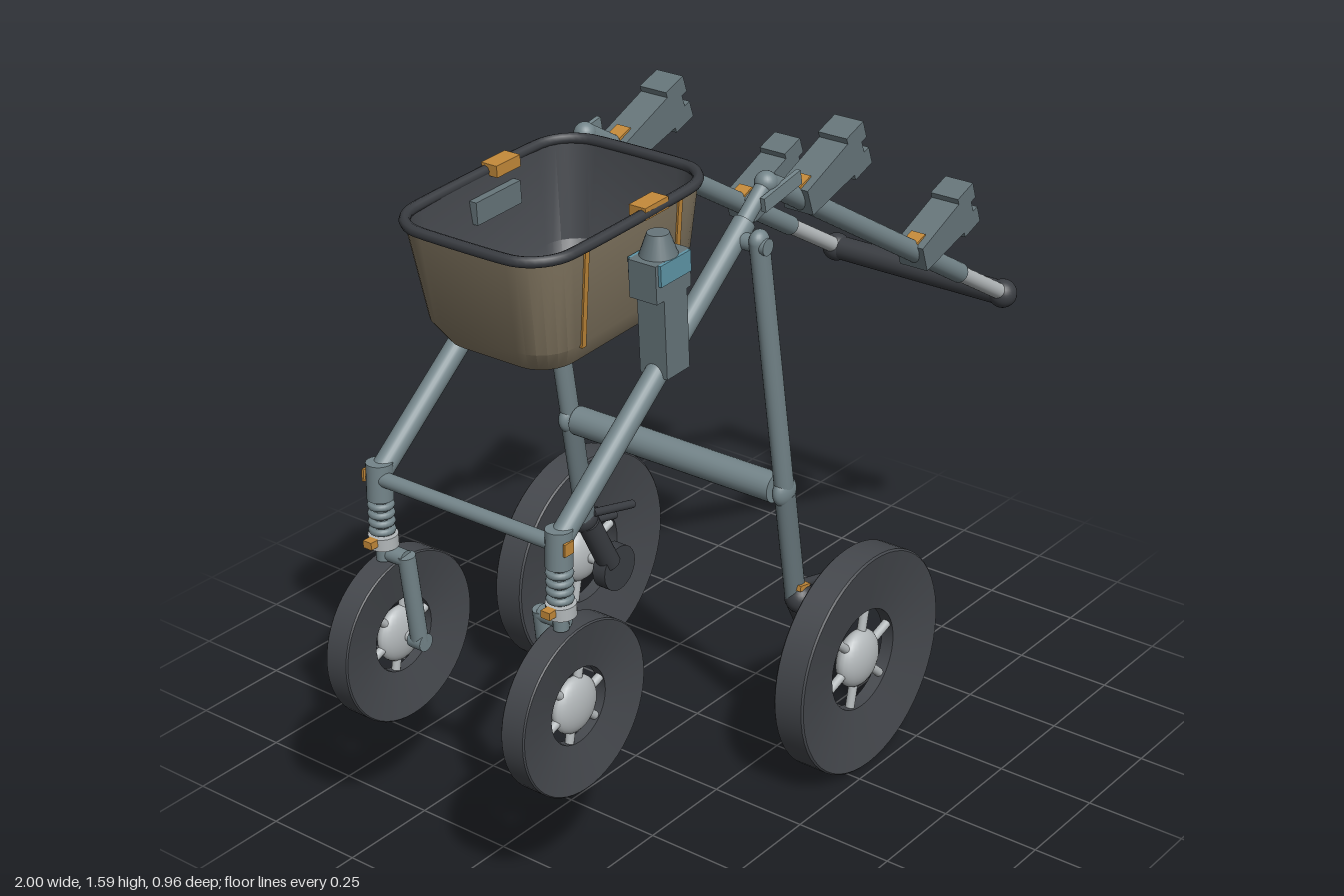
import * as THREE from 'three';
import { toCreasedNormals } from 'three/addons/utils/BufferGeometryUtils.js';

const mat = (name, color, side = THREE.FrontSide) => {
  const m = new THREE.MeshStandardMaterial({ color, side });
  m.name = name;
  return m;
};

export function createModel() {
  const root = new THREE.Group();
  root.name = 'pushFrame';
  const frame = mat('frameGrey', 0x74858a);
  const bracketGrey = mat('bracketGrey', 0x66757a);
  const dark = mat('tyreDark', 0x45484d);
  const black = mat('gripBlack', 0x3a3d42);
  const light = mat('metalLight', 0xb4b9bb);
  const brown = mat('tubBrown', 0x857963);
  const lining = mat('tubLining', 0x45484d);
  const teal = mat('latchTeal', 0x5f96a8);
  const orange = mat('accentOrange', 0xc48a3a);

  const add = (name, geo, m, x = 0, y = 0, z = 0, parent = root) => {
    const o = new THREE.Mesh(geo, m);
    o.name = name;
    o.position.set(x, y, z);
    parent.add(o);
    return o;
  };
  const box = (name, w, h, d, m, x, y, z, rot = 0, parent = root) => {
    const o = add(name, new THREE.BoxGeometry(w, h, d), m, x, y, z, parent);
    o.rotation.z = rot;
    return o;
  };
  const ball = (name, r, m, x, y, z, parent = root) =>
    add(name, new THREE.SphereGeometry(r, 24, 16), m, x, y, z, parent);
  // round bar between two points
  const rod = (name, a, b, r, m, parent = root, r2 = r) => {
    const p = new THREE.Vector3(...a), q = new THREE.Vector3(...b);
    const d = q.clone().sub(p);
    const o = add(name, new THREE.CylinderGeometry(r2, r, d.length(), 24), m, 0, 0, 0, parent);
    o.position.copy(p).add(q).multiplyScalar(0.5);
    o.quaternion.setFromUnitVectors(new THREE.Vector3(0, 1, 0), d.normalize());
    return o;
  };

  // dished tyre, spokes and domed hub
  const wheel = (name, x, y, z, R, hole, half, hubR) => {
    const g = new THREE.Group();
    g.name = name;
    g.position.set(x, y, z);
    const n = half * 0.4;
    const pts = [[hole, -n], [R * 0.985, -half], [R, -half * 0.9], [R, half * 0.9], [R * 0.985, half], [hole, n], [hole, -n]];
    const geo = new THREE.LatheGeometry(pts.map(p => new THREE.Vector2(...p)), 56);
    const tyre = add('tyre', toCreasedNormals(geo, 0.6), dark, 0, 0, 0, g);
    tyre.rotation.x = Math.PI / 2;
    for (let i = 0; i < 6; i++) {
      const a = (i + 0.3) * Math.PI / 3, c = Math.cos(a), s = Math.sin(a);
      rod('spoke', [0, 0, 0], [c * (hole + 0.005), s * (hole + 0.005), 0], hubR * 0.15, light, g);
    }
    ball('hub', hubR, light, 0, 0, 0, g).scale.z = half / hubR * 0.9;
    root.add(g);
  };

  // seat adapter outline: slanted beam ending in a notched block
  const adapterShape = new THREE.Shape([
    [-0.12, -0.035], [0.05, -0.045], [0.05, -0.06], [0.12, -0.06], [0.12, -0.015], [0.1, -0.015], [0.1, 0.015],
    [0.12, 0.015], [0.12, 0.06], [0.05, 0.06], [0.05, 0.045], [-0.12, 0.035],
  ].map(p => new THREE.Vector2(...p)));
  const adapterGeo = new THREE.ExtrudeGeometry(adapterShape, { depth: 0.08, bevelEnabled: false });
  adapterGeo.translate(0, 0, -0.04);

  for (const s of [1, -1]) {
    const z = 0.262 * s, zl = 0.325 * s;

    // handle side: outer tube, sliding inner tube
    rod('upperTube', [-0.09, 1.53, z], [0.74, 1.035, z], 0.026, frame);
    rod('slidingTube', [0.73, 1.04, z], [0.95, 0.91, z], 0.021, light);
    ball('handleEnd', 0.038, black, 0.957, 0.905, z);
    ball('apexJoint', 0.027, frame, -0.09, 1.53, z);
    box('apexPlate', 0.14, 0.035, 0.012, frame, -0.07, 1.51, z + 0.028 * s, 0.2);

    // front tube and folding hinge
    rod('frontTube', [-0.83, 0.935, z], [-0.17, 1.46, z], 0.027, frame);
    rod('frontTubeNeck', [-0.2, 1.44, z], [-0.09, 1.53, z], 0.02, frame);
    rod('hingePin', [-0.2, 1.43, z], [-0.2, 1.43, zl + 0.025 * s], 0.02, frame);

    // rear leg with lower sleeve
    rod('rearLeg', [-0.05, 0.54, zl], [-0.2, 1.44, zl], 0.027, frame).scale.z = 0.8;
    ball('legTop', 0.027, frame, -0.2, 1.44, zl).scale.z = 0.8;
    rod('legSleeve', [-0.038, 0.47, zl], [-0.087, 0.765, zl], 0.03, bracketGrey).scale.z = 0.75;
    ball('legNode', 0.038, frame, -0.09, 0.775, zl).scale.z = 0.6;

    // rear suspension arm, brake lever and axle
    ball('swingJoint', 0.038, black, -0.035, 0.47, zl + 0.012 * s);
    rod('swingArm', [-0.03, 0.46, zl], [0.05, 0.31, zl], 0.03, black);
    rod('swingDisc', [0.07, 0.29, zl - 0.02 * s], [0.07, 0.29, zl + 0.02 * s], 0.062, black);
    rod('brakeLever', [-0.03, 0.49, zl - 0.015 * s], [0.13, 0.45, zl - 0.015 * s], 0.011, black);
    rod('brakeLeverLower', [-0.03, 0.45, zl + 0.02 * s], [0.1, 0.42, zl + 0.02 * s], 0.011, black);
    box('brakeTab', 0.04, 0.014, 0.03, orange, -0.04, 0.505, zl + 0.015 * s, -0.2);
    rod('rearAxle', [0.07, 0.29, zl], [0.07, 0.29, 0.435 * s], 0.015, light);
    wheel('rearWheel', 0.07, 0.29, 0.436 * s, 0.288, 0.13, 0.042, 0.075);

    // front caster: head, spring, collar and one-sided fork
    rod('casterHead', [-0.83, 0.875, z], [-0.828, 0.965, z], 0.031, frame);
    box('casterButton', 0.03, 0.03, 0.006, orange, -0.835, 0.93, z + 0.032 * s);
    rod('casterStem', [-0.828, 0.72, z], [-0.83, 0.89, z], 0.018, frame);
    for (let i = 0; i < 4; i++) {
      const coil = add('springCoil', new THREE.TorusGeometry(0.023, 0.009, 8, 24), frame, -0.829, 0.86 - i * 0.021, z);
      coil.rotation.x = Math.PI / 2;
    }
    rod('casterCollar', [-0.826, 0.755, z], [-0.827, 0.785, z], 0.035, light);
    box('casterLock', 0.03, 0.018, 0.025, orange, -0.865, 0.775, z);
    rod('forkBridge', [-0.82, 0.735, z + 0.01 * s], [-0.82, 0.735, 0.2 * s], 0.02, frame);
    rod('forkLeg', [-0.82, 0.745, 0.2 * s], [-0.79, 0.51, 0.2 * s], 0.021, frame);
    rod('forkTip', [-0.79, 0.51, 0.18 * s], [-0.79, 0.51, 0.22 * s], 0.022, frame);
    rod('frontAxle', [-0.79, 0.51, 0.2 * s], [-0.79, 0.51, z], 0.014, light);
    wheel('frontWheel', -0.79, 0.51, z, 0.21, 0.093, 0.033, 0.07);

    // seat adapters on the upper tube
    for (const [x, y] of [[0.14, 1.493], [0.63, 1.193]]) {
      add('seatAdapter', adapterGeo, bracketGrey, x, y, z).rotation.z = 0.35;
      box('adapterSocket', 0.006, 0.07, 0.05, frame, x + 0.094, y + 0.034, z, 0.35);
      box('adapterButton', 0.045, 0.008, 0.04, orange, x - 0.105, y + 0.002, z, 0.35);
    }

    // tub bracket with latch
    box('tubBracket', 0.08, 0.2, 0.075, bracketGrey, -0.463, 1.305, z, 0.05);
    box('tubBracketHead', 0.12, 0.09, 0.075, bracketGrey, -0.475, 1.44, z, 0.05);
    box('tubLatch', 0.105, 0.05, 0.09, teal, -0.475, 1.46, z, 0.05);
    rod('tubBracketDome', [-0.478, 1.48, z], [-0.48, 1.535, z], 0.045, bracketGrey, root, 0.025);
  }

  // cross members and grip
  rod('handleGrip', [0.957, 0.905, -0.25], [0.957, 0.905, 0.25], 0.032, black);
  rod('rearCrossBar', [-0.09, 0.775, -0.3], [-0.09, 0.775, 0.3], 0.037, frame);
  rod('frontCrossBar', [-0.835, 0.93, -0.26], [-0.835, 0.93, 0.26], 0.018, frame);

  // tub: lofted rounded rectangles, [half length, half width, corner radius, height]
  const ring = ([hx, hz, r, y]) => {
    const out = [];
    for (let c = 0; c < 4; c++) for (let i = 0; i <= 6; i++) {
      const a = (c + i / 6) * Math.PI / 2;
      const cx = (c === 0 || c === 3 ? 1 : -1) * (hx - r), cz = (c < 2 ? -1 : 1) * (hz - r);
      out.push(new THREE.Vector3(cx + r * Math.cos(a), y, cz - r * Math.sin(a)));
    }
    return out;
  };
  const loft = (sections) => {
    const rings = sections.map(ring), n = rings[0].length, pos = [];
    for (let k = 0; k + 1 < rings.length; k++) for (let i = 0; i < n; i++) {
      const j = (i + 1) % n;
      const [a, b, c, d] = [rings[k][i], rings[k][j], rings[k + 1][j], rings[k + 1][i]];
      for (const p of [a, b, c, a, c, d]) pos.push(p.x, p.y, p.z);
    }
    const g = new THREE.BufferGeometry();
    g.setAttribute('position', new THREE.Float32BufferAttribute(pos, 3));
    return toCreasedNormals(g, 0.5);
  };
  const tub = new THREE.Group();
  tub.name = 'tub';
  tub.position.set(-0.515, 1.563, 0);
  tub.rotation.z = 0.057;
  root.add(tub);
  add('tubShell', loft([[0.002, 0.002, 0.001, -0.29], [0.235, 0.165, 0.08, -0.29], [0.268, 0.195, 0.09, -0.235],
    [0.3, 0.22, 0.1, 0]]), brown, 0, 0, 0, tub);
  add('tubInside', loft([[0.292, 0.212, 0.095, 0], [0.26, 0.187, 0.085, -0.23], [0.23, 0.16, 0.075, -0.275],
    [0.002, 0.002, 0.001, -0.275]]), lining, 0, 0, 0, tub);
  const rimPath = new THREE.CatmullRomCurve3(ring([0.298, 0.22, 0.1, 0]), true, 'centripetal');
  add('tubRim', new THREE.TubeGeometry(rimPath, 112, 0.013, 8, true), black, 0, 0, 0, tub);
  for (const s of [1, -1]) {
    for (const x of [-0.155, 0.165]) {
      box('tubStripe', 0.014, 0.24, 0.008, orange, x, -0.125, 0.207 * s, 0, tub).rotation.x = 0.108 * s;
    }
    box('rimClip', 0.08, 0.028, 0.045, orange, 0.07, 0.004, 0.21 * s, 0, tub);
    box('innerPlate', 0.15, 0.055, 0.02, bracketGrey, 0.03, -0.07, 0.197 * s, 0, tub);
    box('floorRail', 0.29, 0.02, 0.018, black, 0.01, -0.262, 0.143 * s, 0, tub);
  }
  return root;
}
